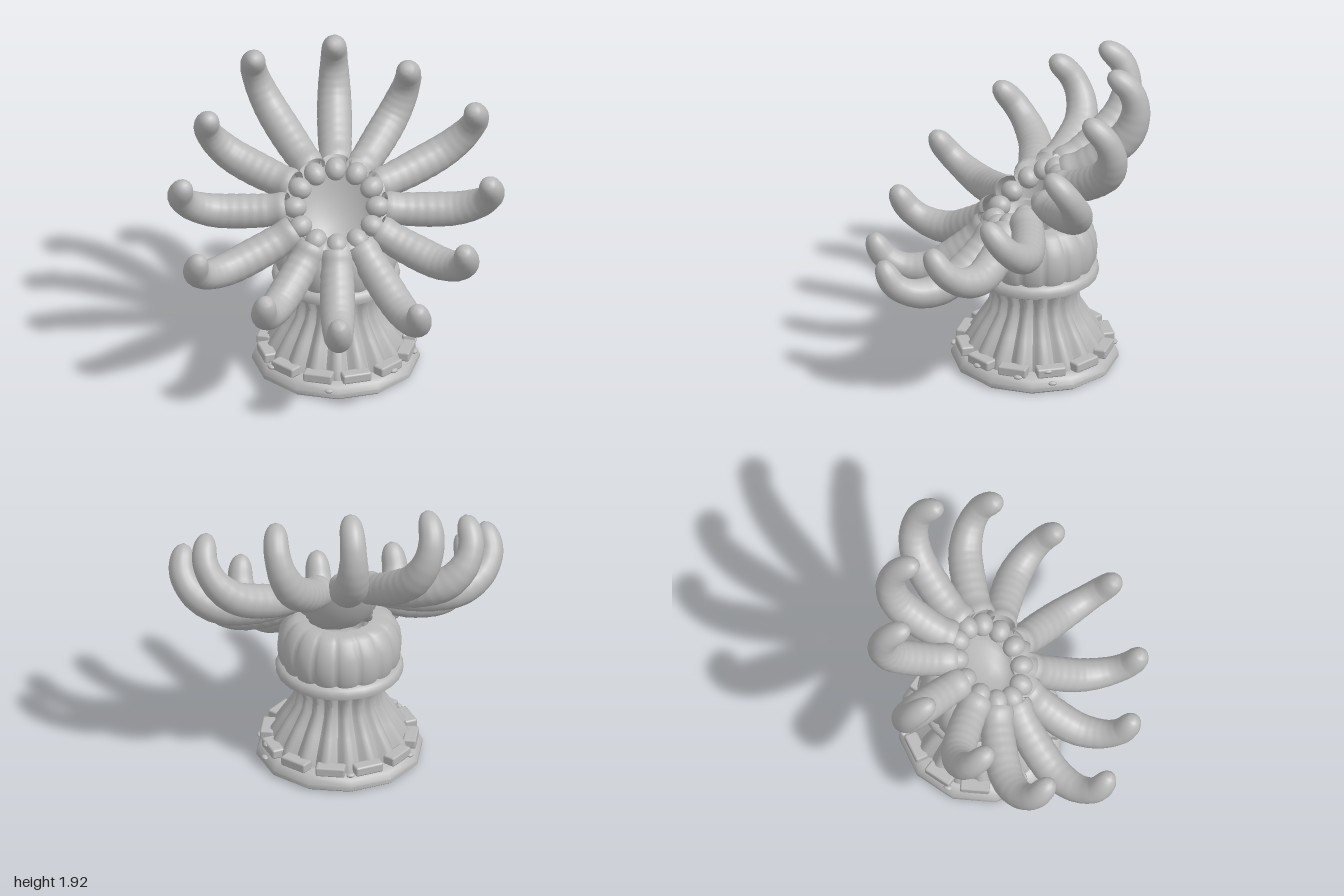
import * as THREE from 'three';
import { mergeVertices, toCreasedNormals } from 'three/addons/utils/BufferGeometryUtils.js';
import { RoundedBoxGeometry } from 'three/addons/geometries/RoundedBoxGeometry.js';

const stone = new THREE.MeshStandardMaterial({ color: 0xb8b8b8, side: THREE.DoubleSide });
stone.name = 'pale grey';

function add(parent, name, geometry) {
  const mesh = new THREE.Mesh(geometry, stone);
  mesh.name = name;
  parent.add(mesh);
  return mesh;
}

// Weld seams, then shade smoothly
function weld(geometry) {
  geometry.deleteAttribute('uv');
  geometry.deleteAttribute('normal');
  const g = mergeVertices(geometry, 1e-4);
  g.computeVertexNormals();
  return g;
}

// Lathe whose radius is multiplied by wave(angle)
function lathe(points, segments, wave = () => 1) {
  const g = new THREE.LatheGeometry(points.map(([r, y]) => new THREE.Vector2(r, y)), segments);
  const p = g.attributes.position;
  for (let i = 0; i < p.count; i++) {
    const x = p.getX(i), z = p.getZ(i);
    const k = wave(Math.atan2(x, z));
    p.setX(i, x * k);
    p.setZ(i, z * k);
  }
  return weld(g);
}

// Curling tentacle in the local y/z plane, tapering to a rounded tip
function tentacleGeometry(length) {
  const path = [[0.28, 0], [0.38, -0.03], [0.54, -0.045], [0.73, -0.025], [0.86, 0.065], [0.917, 0.19], [0.89, 0.365]];
  const curve = new THREE.CatmullRomCurve3(
    path.map(([u, n]) => new THREE.Vector3(0, 0.28 + (u - 0.28) * length, n)));
  const rows = 60, sides = 18;
  const g = new THREE.TubeGeometry(curve, rows, 1, sides, false);
  const p = g.attributes.position, v = new THREE.Vector3();
  for (let i = 0; i <= rows; i++) {
    const t = i / rows, centre = curve.getPointAt(t);
    let r = 0.09 + 0.014 * Math.sin(Math.PI * Math.min(1, t * 1.4)) - 0.025 * t ** 3;
    r += 0.0015 * Math.sin(t * 90) * (1 - t);
    if (t < 0.08) r += 0.008 * Math.sin(t / 0.08 * Math.PI);
    if (t > 0.86) r *= Math.sqrt(Math.max(0, 1 - ((t - 0.86) / 0.14) ** 2.6));
    for (let j = 0; j <= sides; j++) {
      const k = i * (sides + 1) + j;
      v.fromBufferAttribute(p, k).sub(centre).multiplyScalar(r).add(centre);
      p.setXYZ(k, v.x, v.y, v.z);
    }
  }
  return weld(g);
}

export function createModel() {
  const model = new THREE.Group();
  model.name = 'tentacleFlowerPedestal';

  // Pedestal
  const pedestal = new THREE.Group();
  pedestal.name = 'pedestal';
  pedestal.position.z = -0.175;
  model.add(pedestal);

  add(pedestal, 'footPlate', toCreasedNormals(lathe(
    [[0, 0], [0.475, 0], [0.495, 0.015], [0.495, 0.04], [0.475, 0.075], [0.445, 0.095], [0, 0.1]], 12), 0.7));

  for (let i = 0; i < 12; i++) {
    const a = (i + 0.5) * Math.PI / 6;
    const block = add(pedestal, 'footBlock', new RoundedBoxGeometry(0.175, 0.06, 0.08, 1, 0.012));
    block.position.set(Math.sin(a) * 0.425, 0.122, Math.cos(a) * 0.425);
    block.rotation.y = a;
  }

  // Small pebbles stuck on the foot: angle in degrees, height, radius
  const pebbles = [[-55, 0.11, 0.475], [-6, 0.06, 0.485], [46, 0.108, 0.47], [80, 0.1, 0.47],
    [102, 0.135, 0.46], [105, 0.065, 0.48], [180, 0.11, 0.47], [235, 0.1, 0.47]];
  for (const [deg, y, r] of pebbles) {
    const a = deg * Math.PI / 180;
    const pebble = add(pedestal, 'pebble', new THREE.SphereGeometry(1, 10, 8));
    pebble.scale.set(0.026, 0.013, 0.018);
    pebble.position.set(Math.sin(a) * r, y, Math.cos(a) * r);
    pebble.rotation.y = a;
  }

  // Pleated column
  const pleats = (a) => 1 - 0.11 * Math.abs(Math.sin(a * 9)) ** 3;
  add(pedestal, 'pleatedColumn', toCreasedNormals(lathe(
    [[0.425, 0.09], [0.41, 0.15], [0.335, 0.27], [0.275, 0.37], [0.262, 0.45], [0.285, 0.52], [0.305, 0.575]],
    144, pleats), 0.7));

  add(pedestal, 'collarRing', toCreasedNormals(lathe(
    [[0, 0.56], [0.355, 0.56], [0.376, 0.572], [0.38, 0.6], [0.368, 0.63], [0.34, 0.645], [0, 0.645]], 24), 0.8));

  // Lobed dome, open at the top
  const lobes = (a) => 0.95 + 0.05 * Math.sqrt(Math.abs(Math.cos(a * 8)));
  add(pedestal, 'lobedDome', lathe(
    [[0.345, 0.63], [0.365, 0.68], [0.37, 0.75], [0.362, 0.82], [0.335, 0.88], [0.3, 0.92], [0.26, 0.938],
      [0.2, 0.942]], 128, lobes));

  // Tilted flower head: local y points up the slope, local z out of the mouth
  const head = new THREE.Group();
  head.name = 'flowerHead';
  head.position.set(0, 1.06, -0.13);
  head.rotation.x = -52 * Math.PI / 180;
  model.add(head);

  // Throat sinking straight down into the dome
  const throat = lathe(
    [[0, -0.2], [0.1, -0.185], [0.17, -0.15], [0.215, -0.1], [0.245, -0.05], [0.27, 0]], 36);
  throat.rotateX(Math.PI / 2);
  const p = throat.attributes.position;
  for (let i = 0; i < p.count; i++) p.setY(i, p.getY(i) + 0.75 * p.getZ(i));
  throat.computeVertexNormals();
  add(head, 'throat', throat);

  // Tentacles clockwise from the top, each with its own reach, and a bead at the root
  const reach = [1.01, 0.93, 1.07, 1.0, 0.94, 1.05, 1.0, 0.94, 1.08, 1.01, 0.94, 1.07];
  reach.forEach((length, i) => {
    const arm = new THREE.Group();
    arm.name = 'arm';
    arm.rotation.z = -i * Math.PI / 6;
    head.add(arm);
    add(arm, 'tentacle', tentacleGeometry(length));
    const bead = add(arm, 'rootBead', new THREE.SphereGeometry(0.065, 18, 12));
    bead.position.set(0, 0.245, 0.005);
    bead.scale.set(0.97, 1.1, 1);
  });

  return model;
}
